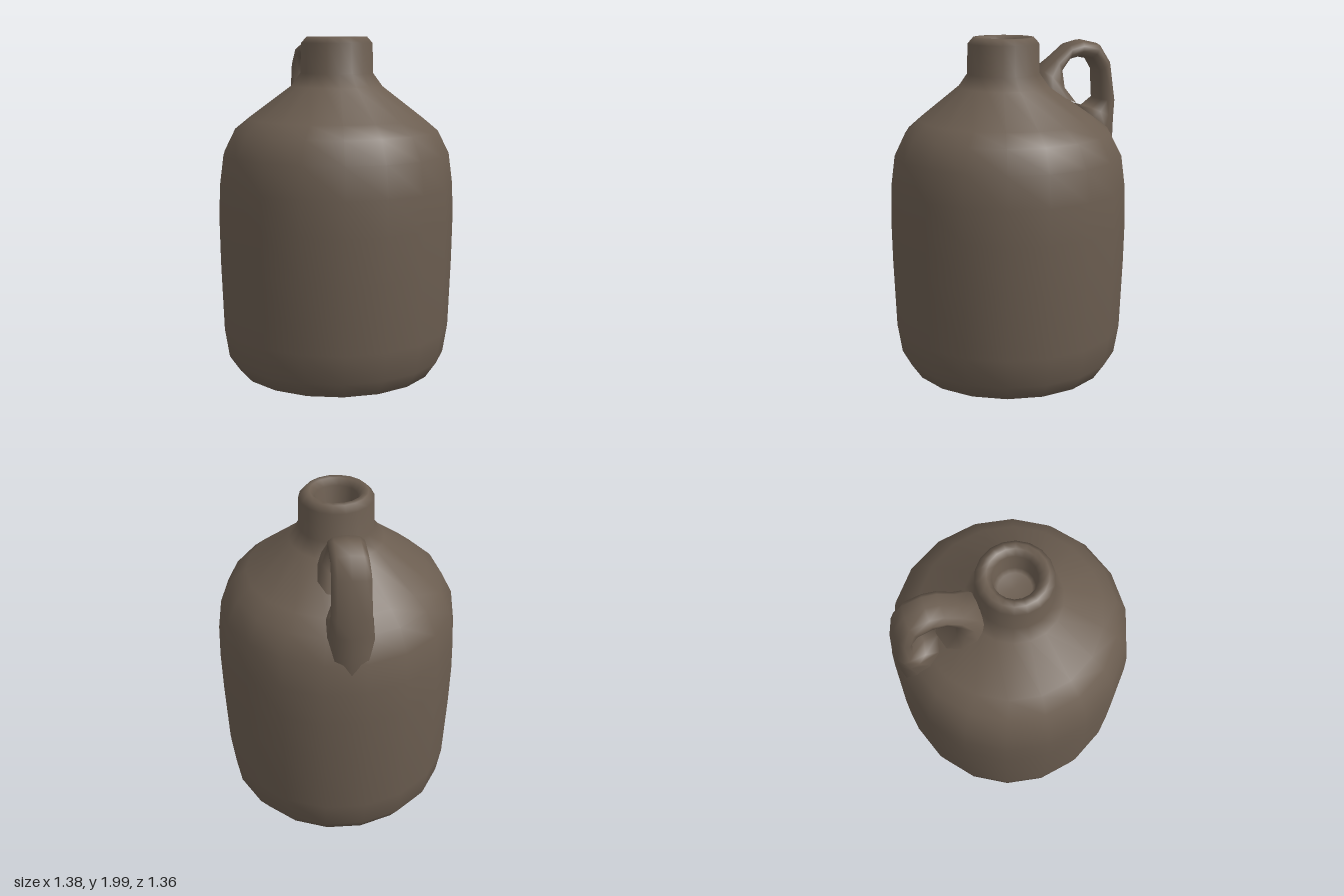
import * as THREE from 'three';

const clay = new THREE.MeshStandardMaterial({ color: 0x6b5d50 });
clay.name = 'brownClay';

// Jug body, neck and mouth as one turned profile; the neck sits slightly forward
function makeBody() {
  const profile = [
    [0, 0.005], [0.5, 0.008], [0.58, 0.035], [0.645, 0.13], [0.672, 0.3],
    [0.686, 0.7], [0.69, 0.95], [0.684, 1.15], [0.66, 1.33], [0.595, 1.46],
    [0.51, 1.53], [0.265, 1.715], [0.21, 1.79], [0.206, 1.96], [0.175, 1.995],
    [0.145, 1.995], [0.118, 1.96], [0.11, 1.84], [0.09, 1.82], [0, 1.82],
  ].map(([r, y]) => new THREE.Vector2(r, y));
  const geo = new THREE.LatheGeometry(profile, 18, Math.PI / 18);
  const p = geo.attributes.position;
  for (let i = 0; i < p.count; i++) {
    const lift = THREE.MathUtils.smoothstep(p.getY(i), 1.4, 1.78);
    p.setZ(i, p.getZ(i) + 0.028 * lift);
  }
  return new THREE.Mesh(geo, clay);
}

// Strap handle lofted through oval sections: outer z,y, inner z,y, centre x, half width
function makeHandle() {
  const sections = [
    [-0.13, 1.72, -0.42, 1.6, -0.02, 0.15],
    [-0.18, 1.81, -0.34, 1.69, -0.02, 0.125],
    [-0.27, 1.87, -0.32, 1.79, -0.02, 0.1],
    [-0.37, 1.95, -0.365, 1.855, -0.02, 0.098],
    [-0.45, 1.97, -0.43, 1.87, -0.02, 0.098],
    [-0.56, 1.945, -0.505, 1.855, -0.025, 0.1],
    [-0.63, 1.84, -0.55, 1.785, -0.03, 0.105],
    [-0.665, 1.61, -0.56, 1.62, -0.03, 0.11],
    [-0.664, 1.5, -0.49, 1.578, -0.03, 0.115],
    [-0.664, 1.38, -0.41, 1.6, -0.03, 0.13],
    [-0.655, 1.2, -0.45, 1.35, -0.03, 0.13],
  ];
  const sides = 10, pos = [], idx = [];
  for (const [zo, yo, zi, yi, cx, w] of sections) {
    for (let j = 0; j < sides; j++) {
      const a = (j / sides) * Math.PI * 2;
      const t = (1 + Math.cos(a)) / 2;
      const s = Math.sign(Math.sin(a)) * Math.pow(Math.abs(Math.sin(a)), 0.7);
      pos.push(cx + w * s, yi + (yo - yi) * t, zi + (zo - zi) * t);
    }
  }
  for (let i = 0; i < sections.length - 1; i++) {
    for (let j = 0; j < sides; j++) {
      const k = (j + 1) % sides;
      const a = i * sides + j, b = i * sides + k, c = a + sides, d = b + sides;
      idx.push(a, b, c, b, d, c);
    }
  }
  const geo = new THREE.BufferGeometry();
  geo.setAttribute('position', new THREE.Float32BufferAttribute(pos, 3));
  geo.setIndex(idx);
  geo.computeVertexNormals();
  return new THREE.Mesh(geo, clay);
}

export function createModel() {
  const jug = new THREE.Group();
  jug.name = 'jug';
  const body = makeBody();
  body.name = 'jugBody';
  const handle = makeHandle();
  handle.name = 'handle';
  jug.add(body, handle);
  return jug;
}
